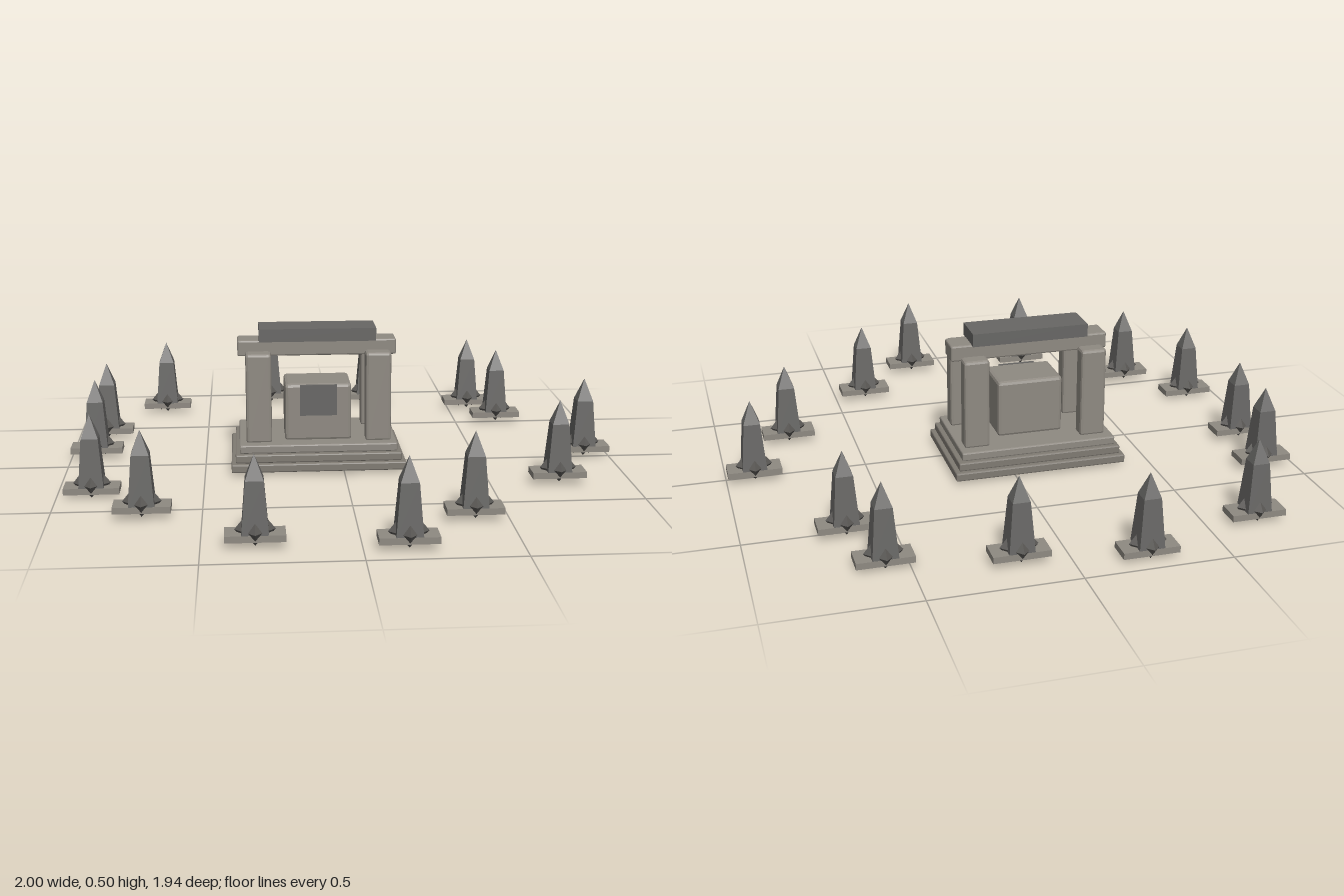
import * as THREE from 'three';
import { RoundedBoxGeometry } from 'three/addons/geometries/RoundedBoxGeometry.js';

const flat = (name, color) => {
  const m = new THREE.MeshStandardMaterial({ color, flatShading: true });
  m.name = name;
  return m;
};

export function createModel() {
  const root = new THREE.Group();
  root.name = 'shrineWithStoneCircle';
  const paleStone = flat('paleStone', 0x8f8a82);
  const stepStone = flat('stepStone', 0x807b73);
  const darkStone = flat('darkStone', 0x686765);
  const crystalStone = flat('crystalStone', 0x5a5855);

  const add = (parent, name, geometry, material, x = 0, y = 0, z = 0) => {
    const mesh = new THREE.Mesh(geometry, material);
    mesh.name = name;
    mesh.position.set(x, y, z);
    parent.add(mesh);
    return mesh;
  };
  // Box given by its limits, with an optional chamfer
  const block = (parent, name, material, [x0, x1], [y0, y1], [z0, z1], chamfer = 0) => {
    const size = [x1 - x0, y1 - y0, z1 - z0];
    const geo = chamfer ? new RoundedBoxGeometry(...size, 1, chamfer) : new THREE.BoxGeometry(...size);
    return add(parent, name, geo, material, (x0 + x1) / 2, (y0 + y1) / 2, (z0 + z1) / 2);
  };

  // Shrine: three steps
  const shrine = new THREE.Group();
  shrine.name = 'shrine';
  root.add(shrine);
  [0, 1, 2].forEach((i) => {
    const d = i * 0.015;
    block(shrine, 'step' + (i + 1), i < 2 ? stepStone : paleStone,
      [-0.405 + d, 0.222 - d], [0.02 + i * 0.031, 0.051 + i * 0.031], [-0.26 + d, 0.157 - d], 0.005);
  });

  // Four pillars
  for (const [x0, x1] of [[-0.35, -0.258], [0.08, 0.172]])
    for (const [z0, z1] of [[-0.188, -0.125], [0.022, 0.087]])
      block(shrine, 'pillar', paleStone, [x0, x1], [0.108, 0.437], [z0, z1], 0.01);

  // Lintel and capstone
  block(shrine, 'lintel', paleStone, [-0.378, 0.198], [0.41, 0.468], [-0.102, -0.006], 0.006);
  block(shrine, 'capstone', darkStone, [-0.3, 0.123], [0.466, 0.513], [-0.12, 0.016]);

  // Altar with inset panel
  block(shrine, 'altar', paleStone, [-0.21, 0.03], [0.108, 0.32], [-0.116, 0.063], 0.012);
  block(shrine, 'altarPanel', darkStone, [-0.156, -0.022], [0.205, 0.318], [0.062, 0.071]);

  // Ring of pointed stones: x, z, height offset
  const places = [
    [-0.24, -0.91, -0.008], [0.165, -0.84, 0], [-0.675, -0.77, -0.006], [0.58, -0.75, -0.008],
    [0.66, -0.51, 0], [-0.885, -0.38, 0], [-0.905, -0.12, 0], [0.9, -0.01, 0],
    [-0.88, 0.325, -0.01], [0.74, 0.295, 0], [-0.695, 0.56, 0], [0.385, 0.65, 0],
    [-0.33, 0.85, 0], [0.14, 0.9, 0],
  ];
  const r2 = Math.SQRT2;
  const slab = new THREE.BoxGeometry(0.19, 0.022, 0.086);
  const shaft = new THREE.CylinderGeometry(0.029 * r2, 0.043 * r2, 0.175, 4, 1).rotateY(Math.PI / 4);
  const tip = new THREE.ConeGeometry(0.029 * r2, 0.08, 4, 1, true).rotateY(Math.PI / 4);
  const shard = new THREE.OctahedronGeometry(0.036).scale(1, 1.25, 1);

  places.forEach(([x, z, dy]) => {
    const stone = new THREE.Group();
    stone.name = 'standingStone';
    stone.position.set(x, dy, z);
    root.add(stone);
    add(stone, 'slab', slab, paleStone, 0, 0.044, 0);
    add(stone, 'shaft', shaft, darkStone, 0, 0.1375, 0);
    add(stone, 'tip', tip, darkStone, 0, 0.265, 0);
    // Shards around the foot
    for (const [sx, sz] of [[1, 0], [-1, 0], [0, 1], [0, -1]])
      add(stone, 'footShard', shard, crystalStone, sx * 0.028, 0.063, sz * 0.028);
  });

  return root;
}
